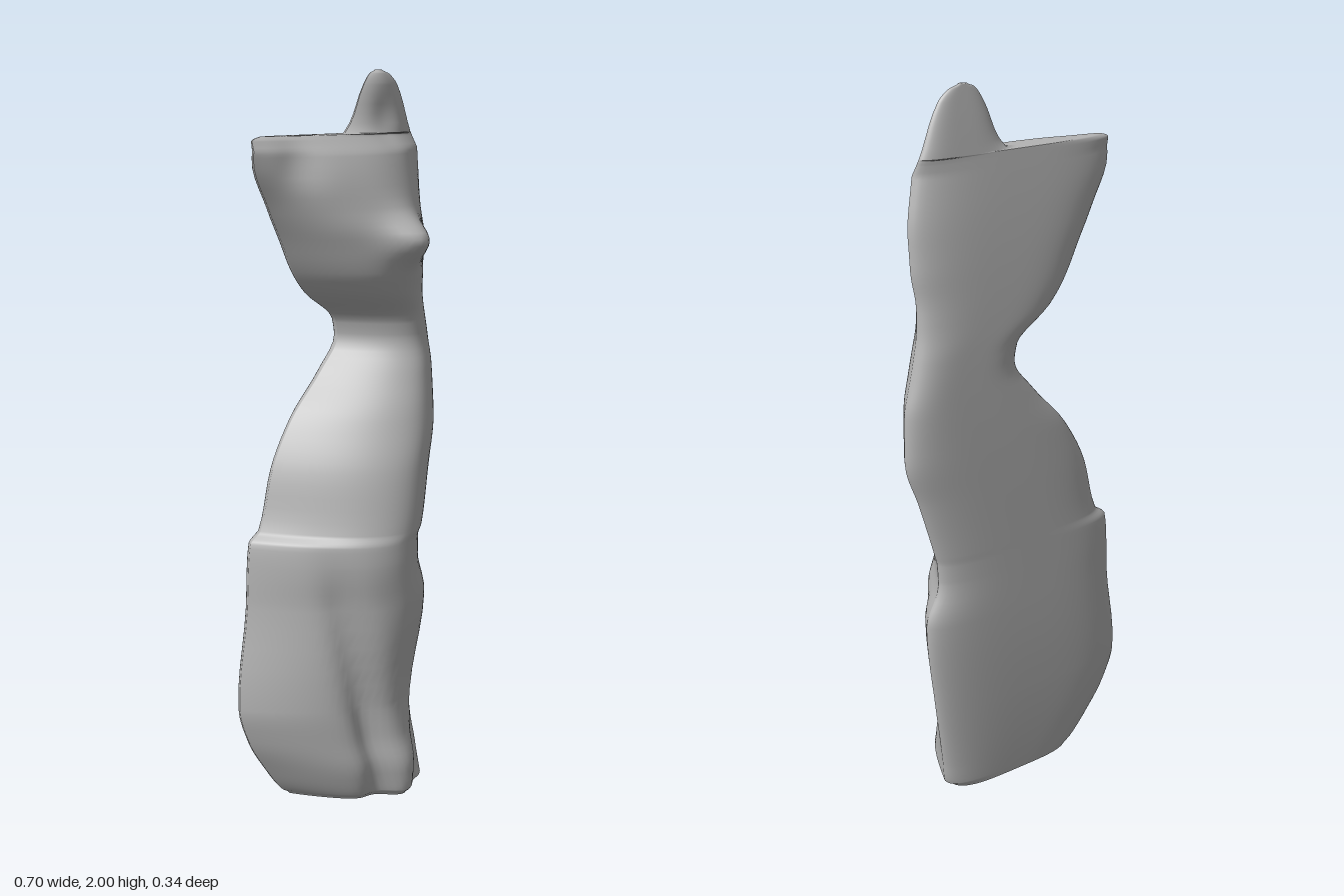
import * as THREE from 'three';

// Outline of the figure: height, left edge x, right edge x, front z
const OUTLINE = [
  [0.01, -0.20, 0.20, 0.155],
  [0.03, -0.225, 0.225, 0.17],
  [0.10, -0.275, 0.235, 0.17],
  [0.20, -0.33, 0.25, 0.148],
  [0.30, -0.355, 0.265, 0.14],
  [0.58, -0.315, 0.295, 0.168],
  [0.70, -0.308, 0.255, 0.17],
  [0.76, -0.30, 0.258, 0.168],
  [0.79, -0.265, 0.265, 0.167],
  [0.95, -0.22, 0.31, 0.15],
  [1.08, -0.15, 0.348, 0.118],
  [1.20, -0.045, 0.345, 0.077],
  [1.29, 0.015, 0.325, 0.052],
  [1.34, 0.005, 0.313, 0.053],
  [1.42, -0.10, 0.298, 0.085],
  [1.48, -0.15, 0.295, 0.105],
  [1.57, -0.20, 0.305, 0.11],
  [1.65, -0.245, 0.305, 0.085],
  [1.78, -0.305, 0.283, 0.022],
  [1.82, -0.302, 0.273, -0.022],
  [1.832, -0.27, 0.27, -0.035],
  [1.836, 0.02, 0.268, -0.037],
  [1.96, 0.085, 0.212, -0.055],
  [1.99, 0.108, 0.18, -0.064],
  [2.00, 0.13, 0.155, -0.072],
];

// Monotone blend between neighbouring sections, so edges never overshoot
function blend(k, t) {
  const slope = (i, c) => {
    if (i === 0 || i === OUTLINE.length - 1) return 0;
    const [p, q, r] = [OUTLINE[i - 1], OUTLINE[i], OUTLINE[i + 1]];
    const a = (q[c] - p[c]) / (q[0] - p[0]);
    const b = (r[c] - q[c]) / (r[0] - q[0]);
    return a * b > 0 ? 2 * a * b / (a + b) : 0;
  };
  const A = OUTLINE[k], B = OUTLINE[k + 1], h = B[0] - A[0], t2 = t * t, t3 = t2 * t;
  return A.map((a, c) => c === 0 ? a + h * t
    : (2 * t3 - 3 * t2 + 1) * a + (t3 - 2 * t2 + t) * h * slope(k, c)
    + (3 * t2 - 2 * t3) * B[c] + (t3 - t2) * h * slope(k + 1, c));
}

const bell = (d, w) => Math.exp(-(d * d) / (w * w));

// The nearly flat back leans in at the base and towards the ears
const backZ = (y) => -0.165 + 0.035 * Math.max(0, 1 - y / 0.6) ** 2
  + 0.08 * Math.max(0, (y - 0.9) / 1.1) ** 2.5;

// Sculpted relief on the front: nose, ear hollows, grooves beside the front legs
function relief(x, y) {
  let z = 0.065 * bell(x - 0.07, 0.07) * bell(y - 1.565, 0.055);
  z -= 0.025 * bell(x + 0.2, 0.06) * bell(y - 1.76, 0.06);
  z -= 0.014 * bell(x - 0.14, 0.045) * bell(y - 1.88, 0.06);
  const fade = THREE.MathUtils.smoothstep(0.85 - y, 0, 0.4);
  z -= 0.035 * fade * bell(x + 0.03 + 0.2 * y, 0.04);
  z -= 0.035 * fade * bell(x - 0.08 - 0.24 * y, 0.04);
  return z;
}

function catGeometry() {
  const FRONT = 52, BACK = 28, RING = FRONT + BACK, STEPS = 5;
  const pos = [], index = [];

  // One section: a rounded front bulge joined to a flat back with soft corners
  const addRing = ([y, xl, xr, zf]) => {
    const zb = backZ(y), zs = zb + Math.min(0.05, (zf - zb) * 0.4);
    const mid = (xl + xr) / 2, half = (xr - xl) / 2;
    const ridge = mid + 0.06 * Math.max(0, 1 - y / 1.2);
    for (let i = 0; i < FRONT; i++) {
      const x = mid - half * Math.cos(Math.PI * i / FRONT);
      const s = Math.min(1, x < ridge ? (ridge - x) / (ridge - xl) : (x - ridge) / (xr - ridge));
      const z = zs + (zf - zs) * (1 - s ** 1.95) + relief(x, y) * (1 - s ** 4);
      pos.push(x, y, Math.max(z, zs));
    }
    for (let i = 0; i < BACK; i++) {
      const u = Math.cos(Math.PI * i / BACK);
      pos.push(mid + half * u, y, zs - (zs - zb) * Math.sqrt(Math.max(0, 1 - u ** 4)));
    }
  };
  for (let k = 0; k < OUTLINE.length - 1; k++)
    for (let j = 0; j < STEPS; j++) addRing(blend(k, j / STEPS));
  addRing(OUTLINE[OUTLINE.length - 1]);

  const rings = pos.length / 3 / RING;
  for (let r = 0; r < rings - 1; r++)
    for (let i = 0; i < RING; i++) {
      const a = r * RING + i, b = r * RING + (i + 1) % RING;
      index.push(a, b, b + RING, a, b + RING, a + RING);
    }

  // Base and ear tip caps; the base has its own corners to keep a crisp rim
  const rim = pos.length / 3;
  pos.push(...pos.slice(0, RING * 3), 0, 0, 0);
  const tip = pos.length / 3, last = (rings - 1) * RING;
  pos.push(0.142, 2.0, -0.078);
  for (let i = 0; i < RING; i++) {
    const n = (i + 1) % RING;
    index.push(rim + RING, rim + n, rim + i, tip, last + i, last + n);
  }
  const g = new THREE.BufferGeometry();
  g.setAttribute('position', new THREE.Float32BufferAttribute(pos, 3));
  g.setIndex(index);
  g.computeVertexNormals();
  return g;
}

export function createModel() {
  const stoneGrey = new THREE.MeshStandardMaterial({ color: 0xb4b4b4 });
  stoneGrey.name = 'stoneGrey';
  const cat = new THREE.Mesh(catGeometry(), stoneGrey);
  cat.name = 'sittingCat';
  const group = new THREE.Group();
  group.name = 'catFigurine';
  group.add(cat);
  return group;
}
